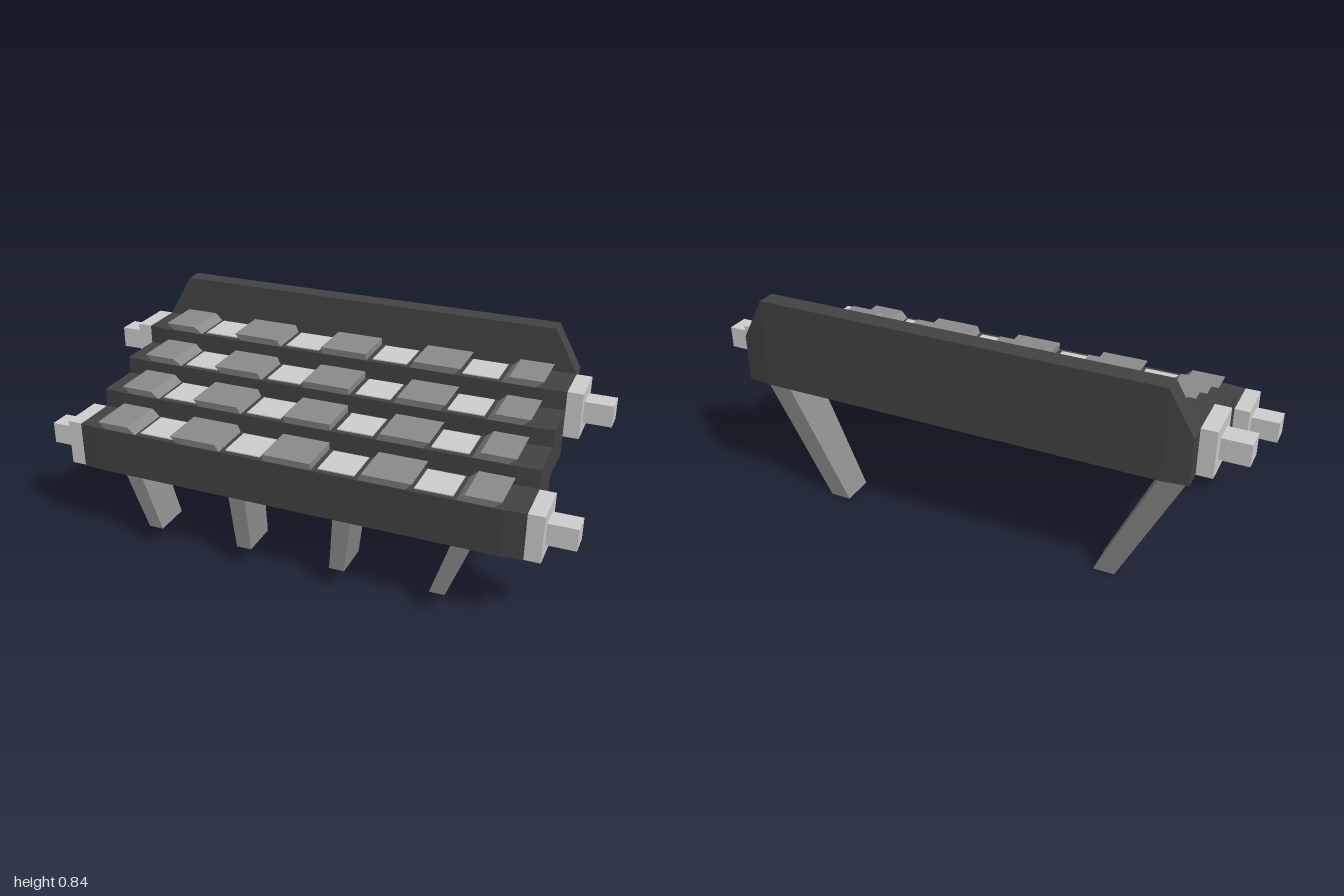
import * as THREE from 'three';
import { ConvexGeometry } from 'three/addons/geometries/ConvexGeometry.js';

const mat = (name, color) => Object.assign(new THREE.MeshStandardMaterial({ color }), { name });

export function createModel() {
  const dark = mat('charcoal', 0x434343);
  const mid = mat('mid gray', 0x8c8c8c);
  const light = mat('light gray', 0xd0d0d0);
  const model = new THREE.Group();
  model.name = 'tieredBench';

  const add = (name, geo, material) => {
    const mesh = new THREE.Mesh(geo, material);
    mesh.name = name;
    model.add(mesh);
  };
  const hull = (name, pts, material) =>
    add(name, new ConvexGeometry(pts.map(p => new THREE.Vector3(...p))), material);
  // box given by its limits
  const box = (name, x0, x1, y0, y1, z0, z1, material) => {
    const geo = new THREE.BoxGeometry(Math.abs(x1 - x0), y1 - y0, z1 - z0);
    geo.translate((x0 + x1) / 2, (y0 + y1) / 2, (z0 + z1) / 2);
    add(name, geo, material);
  };
  // sheared or tapered block between two rectangles [x0, x1, z0, z1]
  const block = (name, y0, low, y1, high, side, material) => {
    const ring = ([a, b, c, d], y) =>
      [[a, c], [b, c], [b, d], [a, d]].map(([x, z]) => [x * side, y, z]);
    hull(name, [...ring(low, y0), ...ring(high, y1)], material);
  };

  // four rising steps, each with light plates and slanted pads
  const steps = [
    { y: 0.475, z: 0.297 }, { y: 0.545, z: 0.122 },
    { y: 0.61, z: -0.052 }, { y: 0.68, z: -0.225 },
  ];
  steps.forEach(({ y, z }, i) => {
    const back = z - 0.088, front = z + 0.084;
    const plan = [[0.84, back], [0.84, front], [0.76, front + 0.006]];
    const pts = [];
    for (const s of [-1, 1]) for (const h of [y - 0.175, y])
      for (const [px, pz] of plan) pts.push([s * px, h, pz]);
    hull('step' + (i + 1), pts, dark);

    const zs = [back + 0.004, front + 0.003], zt = [back + 0.002, front + 0.007];
    block('centrePad', y, [-0.09, 0.09, ...zs], y + 0.026, [-0.09, 0.09, ...zt], 1, mid);
    for (const s of [-1, 1]) {
      block('innerPad', y, [0.262, 0.432, ...zs], y + 0.026, [0.275, 0.455, ...zt], s, mid);
      block('outerPad', y, [0.605, 0.73, ...zs], y + 0.026, [0.633, 0.758, ...zt], s, mid);
      for (const x of [0.177, 0.524])
        box('seatPlate', s * (x - 0.067), s * (x + 0.067), y, y + 0.004, z - 0.073, z + 0.07, light);
    }

    // end caps with square pegs on the lowest and highest steps
    if (i === 0 || i === 3) for (const s of [-1, 1]) {
      box('endCap', s * 0.84, s * 0.897, y - 0.173, y, z - 0.086, z + 0.083, light);
      box('endPeg', s * 0.897, s * 1, y - 0.127, y - 0.046, z - 0.041, z + 0.041, light);
    }
  });

  // backboard with cut upper corners and a slightly bowed back
  const board = [];
  for (const s of [-1, 1]) board.push(
    [s * 0.84, 0.505, -0.31], [s * 0.84, 0.68, -0.31], [s * 0.75, 0.84, -0.316],
    [s * 0.84, 0.505, -0.38], [s * 0.84, 0.68, -0.38],
    [s * 0.75, 0.505, -0.39], [s * 0.75, 0.84, -0.387]);
  hull('backboard', board, dark);

  // splayed, tapering legs
  for (const s of [-1, 1]) {
    block('innerFrontLeg', 0.088, [0.155, 0.212, 0.23, 0.372], 0.302, [0.17, 0.236, 0.222, 0.378], s, mid);
    block('outerFrontLeg', 0.088, [0.527, 0.583, 0.23, 0.372], 0.302, [0.597, 0.665, 0.222, 0.378], s, mid);
    block('rearLeg', 0, [0.508, 0.587, -0.29, -0.165], 0.51, [0.745, 0.838, -0.316, -0.14], s, mid);
  }
  return model;
}
